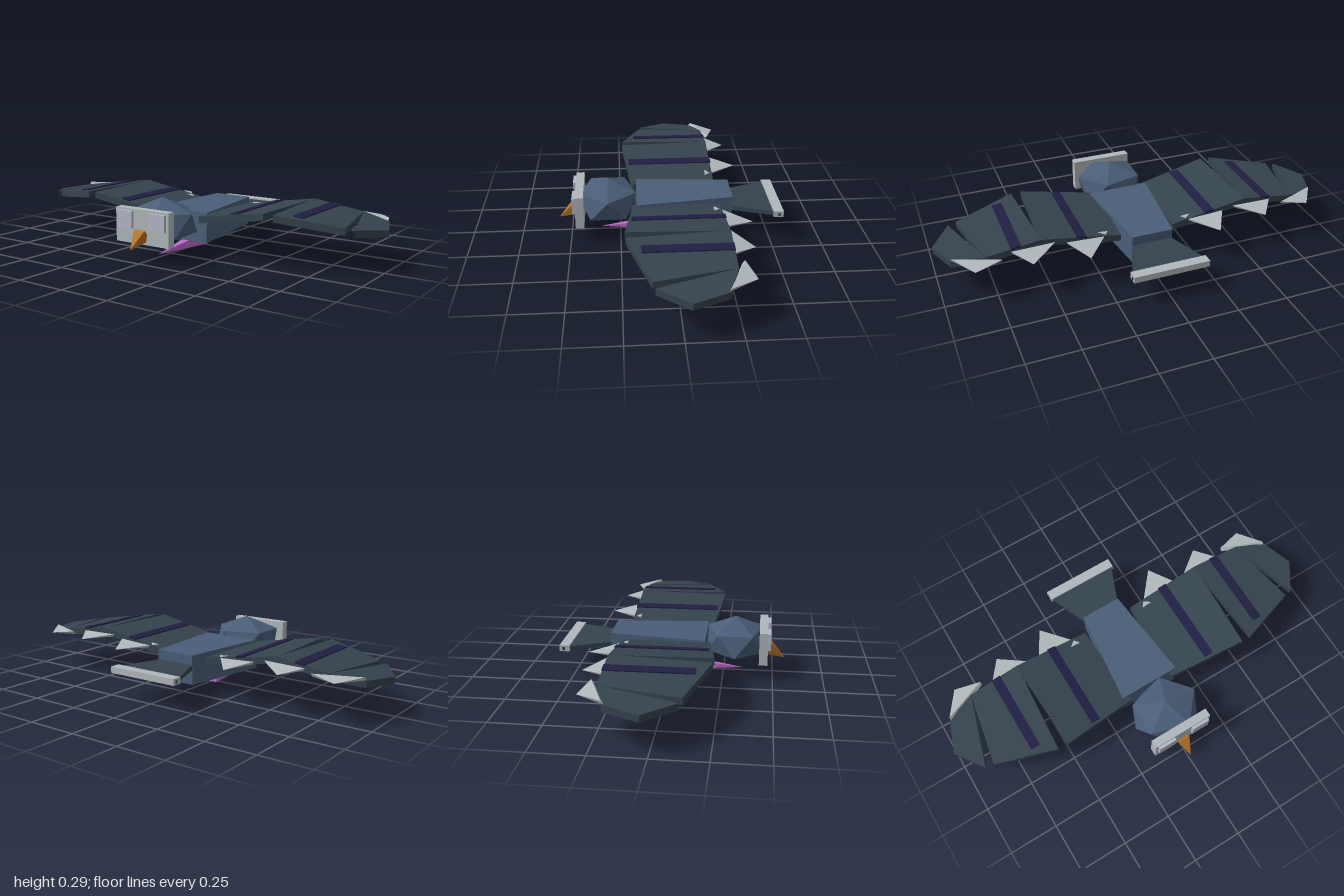
import * as THREE from 'three';
import { ConvexGeometry } from 'three/addons/geometries/ConvexGeometry.js';

export function createModel() {
  const model = new THREE.Group();
  model.name = 'mechanicalBird';

  const paint = (name, color) => {
    const m = new THREE.MeshStandardMaterial({ color });
    m.name = name;
    return m;
  };
  const slate = paint('slateBlue', 0x4a5e78);
  const dark = paint('darkWing', 0x35434d);
  const navy = paint('navyStripe', 0x211f42);
  const grey = paint('lightGrey', 0xb0b8bb);
  const lens = paint('paleLens', 0xb4b7c8);
  const orange = paint('orangeBeak', 0xb8752a);
  const purple = paint('purpleClaw', 0xbb68cc);

  const add = (name, geometry, material, parent = model) => {
    const mesh = new THREE.Mesh(geometry, material);
    mesh.name = name;
    parent.add(mesh);
    return mesh;
  };
  // Faceted solid around a set of corners
  const solid = (name, points, material, parent) =>
    add(name, new ConvexGeometry(points.map(p => new THREE.Vector3(...p))), material, parent);
  // Box given by its limits
  const box = (name, [x0, x1], [y0, y1], [z0, z1], material) => {
    const mesh = add(name, new THREE.BoxGeometry(x1 - x0, y1 - y0, z1 - z0), material);
    mesh.position.set((x0 + x1) / 2, (y0 + y1) / 2, (z0 + z1) / 2);
  };
  // Symmetric cross-section rectangle at one z
  const section = (w, y0, y1, z0, z1 = z0) =>
    [[-w, y0, z0], [w, y0, z0], [-w, y1, z1], [w, y1, z1]];

  // Body, tapering to the rear
  solid('body', [...section(0.155, 0.055, 0.205, 0.168, 0.163), ...section(0.103, 0.065, 0.21, -0.31, -0.315)], slate);

  // Head: stretched twenty-sided solid with a corner at top and bottom
  const head = [[0, 0.29, 0.31], [0, 0.055, 0.31]];
  for (let i = 0; i < 5; i++) {
    const a = i * Math.PI * 2 / 5;
    const x = Math.cos(a) * 0.17, z = Math.sin(a) * 0.1475;
    head.push([x, 0.225, 0.31 + z], [-x, 0.12, 0.31 - z]);
  }
  solid('head', head, slate);

  // Face plate, eyes and beak
  box('facePlate', [-0.155, 0.155], [0.087, 0.252], [0.43, 0.472], grey);
  for (const s of [-1, 1]) {
    box(s > 0 ? 'leftEye' : 'rightEye', [s * 0.095 - 0.046, s * 0.095 + 0.046], [0.16, 0.242], [0.47, 0.487], lens);
  }
  solid('beak', [...section(0.031, 0.107, 0.16, 0.445, 0.49), [0, 0.077, 0.56]], orange);

  // Tail and its end band
  solid('tail', [...section(0.095, 0.135, 0.162, -0.3), ...section(0.193, 0.141, 0.157, -0.545)], dark);
  box('tailBand', [-0.188, 0.188], [0.134, 0.165], [-0.56, -0.51], grey);

  // Claw under the body
  solid('claw', [...section(0.035, 0, 0.065, -0.022), [0, 0.014, 0.35]], purple);

  // Wings: top surface rises to the elbow, then falls to the tip
  const topY = x => x < 0.525 ? 0.255 - (0.525 - x) * 0.165 : 0.255 - (x - 0.525) * 0.135;
  const panels = {
    innerPanel: [[0.12, 0.187], [0.508, 0.232], [0.528, -0.245], [0.135, -0.245]],
    middlePanel: [[0.557, 0.23], [0.86, 0.125], [0.79, -0.243], [0.525, -0.245]],
    tipPanel: [[0.9, 0.115], [1, 0.03 - 0.06], [0.94, -0.19], [0.79, -0.243]],
  };
  const stripes = [[0.308, 0.354, 0.197, -0.249], [0.622, 0.67, 0.162, -0.246]];
  // Feather base corners and apex as x, y, z
  const feathers = [
    [[0.43, 0.212, -0.2], [0.19, 0.198, -0.21], [0.33, 0.19, -0.38]],
    [[0.695, 0.222, -0.21], [0.43, 0.226, -0.22], [0.593, 0.203, -0.35]],
    [[0.935, 0.207, -0.195], [0.72, 0.208, -0.28], [0.85, 0.2, -0.317]],
  ];
  for (const s of [1, -1]) {
    const wing = new THREE.Group();
    wing.name = s > 0 ? 'leftWing' : 'rightWing';
    model.add(wing);
    // Slab following the wing surface
    const slab = (name, outline, lift, thick, material) => solid(name, outline.flatMap(([x, z]) =>
      [[s * x, topY(x) + lift, z], [s * x, topY(x) + lift - thick, z]]), material, wing);

    for (const name in panels) slab(name, panels[name], 0, 0.033, dark);
    for (const [x0, x1, z0, z1] of stripes) {
      slab('wingStripe', [[x0, z0], [x1, z0], [x1, z1], [x0, z1]], 0.006, 0.0095, navy);
    }
    for (const [a, b, tip] of feathers) {
      const base = [a, b].flatMap(([x, y, z]) => [[s * x, y + 0.007, z], [s * x, y - 0.009, z + 0.012]]);
      solid('feather', [...base, [s * tip[0], tip[1], tip[2]]], grey, wing);
    }
  }
  return model;
}
